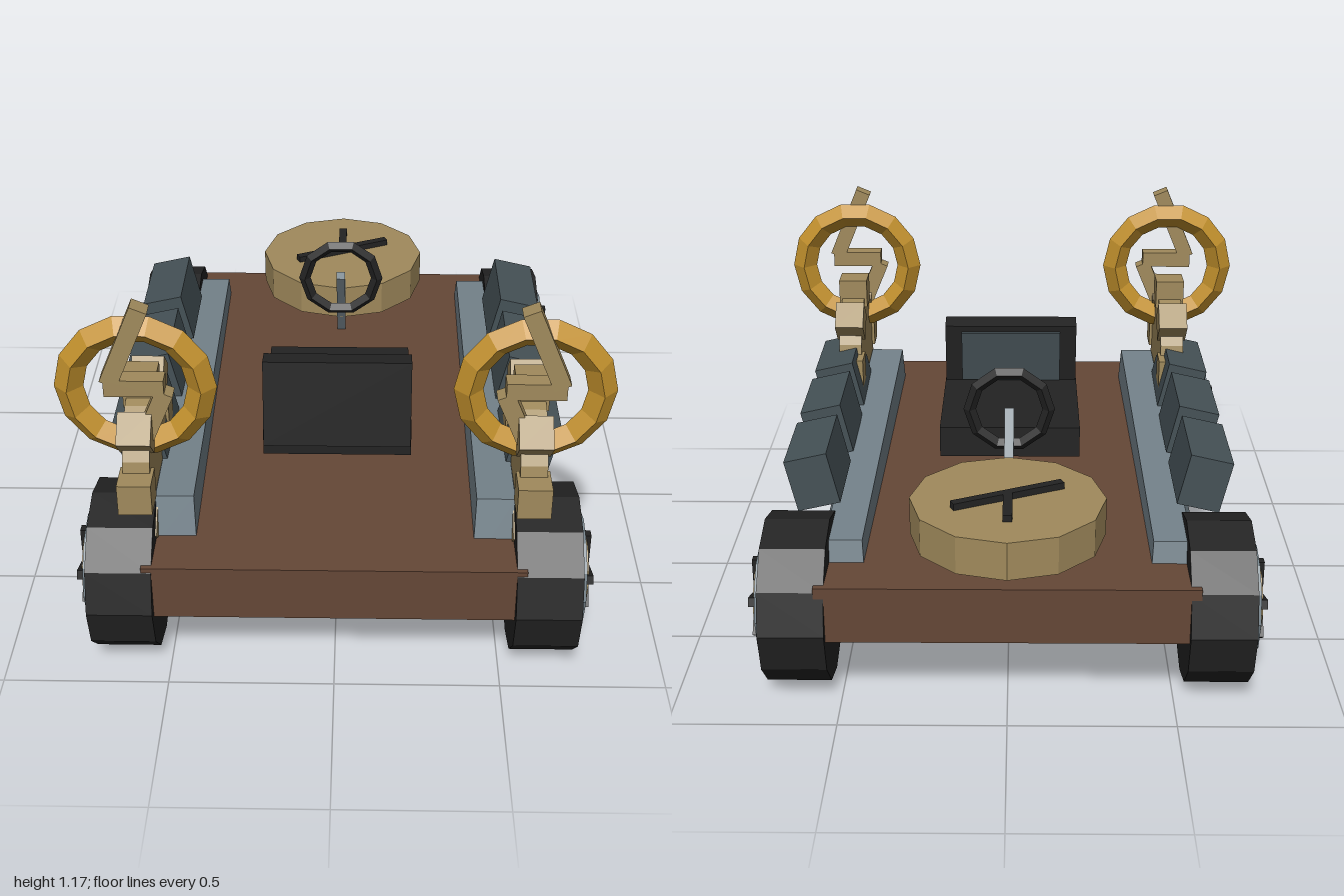
import * as THREE from 'three';

const mat = (name, color) => {
  const m = new THREE.MeshStandardMaterial({ color, flatShading: true });
  m.name = name;
  return m;
};

export function createModel() {
  const brown = mat('deck brown', 0x654736);
  const steel = mat('steel grey', 0x74828a);
  const slate = mat('slate grey', 0x455156);
  const black = mat('rubber black', 0x232323);
  const brass = mat('brass', 0xa08a5c);
  const gold = mat('gold', 0xc08f2c);
  const root = new THREE.Group();

  const add = (name, geo, material, pos, rot = [0, 0, 0], parent = root) => {
    const mesh = new THREE.Mesh(geo, material);
    mesh.name = name;
    mesh.position.set(...pos);
    mesh.rotation.set(...rot);
    parent.add(mesh);
    return mesh;
  };
  const box = (name, size, material, pos, rot, parent) =>
    add(name, new THREE.BoxGeometry(...size), material, pos, rot, parent);
  const group = (name) => {
    const g = new THREE.Group();
    g.name = name;
    root.add(g);
    return g;
  };

  // Deck
  box('deck', [1.13, 0.178, 1.875], brown, [0, 0.315, 0.0275]);

  // Wheel: tyre, rim, hub and five spokes, s is the side
  const wheel = (name, s, z) => {
    const g = group(name);
    const disc = (part, r, x0, x1, m) =>
      add(part, new THREE.CylinderGeometry(r, r, x1 - x0, 12), m,
        [s * (x0 + x1) / 2, 0, 0], [0, 0, Math.PI / 2], g);
    disc('tyre', 0.258, 0.535, 0.73, black);
    disc('rim', 0.175, 0.7, 0.75, steel);
    disc('hub', 0.115, 0.72, 0.763, brass);
    for (let i = 0; i < 5; i++) {
      const a = i * Math.PI * 2 / 5;
      box('spoke', [0.025, 0.125, 0.028], black,
        [s * 0.763, Math.cos(a) * 0.0625, Math.sin(a) * 0.0625], [a, 0, 0], g);
    }
    g.position.set(0, 0.258, z);
  };

  // Side rail: a box tapered toward its top and rising toward +z
  const rail = (s) => {
    const geo = new THREE.BoxGeometry(1, 1, 1);
    const p = geo.attributes.position;
    for (let i = 0; i < p.count; i++) {
      const outer = p.getX(i) * s > 0, top = p.getY(i) > 0, front = p.getZ(i) > 0;
      const x = (outer ? (top ? 0.545 : 0.6) : (top ? 0.43 : 0.42)) + (front ? -0.008 : 0.005);
      const y = top ? (front ? 0.525 : 0.47) : 0.31;
      const z = front ? (top ? 0.77 : 0.83) : (top ? -0.73 : -0.77);
      p.setXYZ(i, s * x, y, z);
    }
    geo.computeVertexNormals();
    add('sideRail', geo, steel, [0, 0, 0]);
  };

  // Upright gear with eight square teeth
  const gear = (s) => {
    const g = group('gear');
    add('gearDisc', new THREE.CylinderGeometry(0.22, 0.22, 0.08, 16), brass,
      [0, 0, 0], [0, 0, Math.PI / 2], g);
    for (let i = 0; i < 8; i++) {
      const a = i * Math.PI / 4;
      box('gearTooth', [0.1, 0.1, 0.1], brass,
        [0, Math.cos(a) * 0.227, Math.sin(a) * 0.227], [a, 0, 0], g);
    }
    g.position.set(s * 0.58, 0.59, 0.61);
  };

  // Ring with a zigzag bolt
  const ring = (s) => {
    const g = group('boltRing');
    add('ring', new THREE.TorusGeometry(0.194, 0.043, 4, 14), gold, [s * 0.579, 0.88, 0.722], [0, 0, 0], g);
    const bar = (x0, y0, x1, y1) =>
      box('boltBar', [0.053, Math.hypot(x1 - x0, y1 - y0), 0.055], brass,
        [s * (x0 + x1) / 2, (y0 + y1) / 2, 0.748],
        [0, 0, s * Math.atan2(x1 - x0, y0 - y1)], g);
    bar(0.548, 1.157, 0.65, 0.915);
    bar(0.49, 0.902, 0.664, 0.902);
    bar(0.49, 0.885, 0.585, 0.66);
  };

  for (const s of [1, -1]) {
    wheel('frontWheel', s, 0.743);
    wheel('rearWheel', s, -0.682);
    rail(s);
    for (const z of [0.405, 0.015, -0.378])
      box('sidePanel', [0.135, 0.169, 0.312], slate, [s * 0.605, 0.567, z], [0, 0, -s * 0.227]);
    gear(s);
    ring(s);
  }

  // Seat with leaning backrest
  box('seatCushion', [0.47, 0.105, 0.5], black, [0, 0.503, 0.18]);
  const back = group('backrest');
  box('backrestFrame', [0.465, 0.285, 0.075], black, [0, 0, 0], [0, 0, 0], back);
  box('backrestPad', [0.35, 0.19, 0.02], slate, [0, 0.025, -0.038], [0, 0, 0], back);
  back.position.set(0, 0.635, 0.4);
  back.rotation.x = -0.15;

  // Steering wheel and slanted column
  add('steeringWheel', new THREE.TorusGeometry(0.126, 0.02, 4, 10), black, [0, 0.712, -0.285]);
  box('steeringColumn', [0.03, 0.375, 0.03], steel, [0, 0.555, -0.39], [0.54, 0, 0]);

  // Clock drum with hands
  add('clockDrum', new THREE.CylinderGeometry(0.293, 0.293, 0.118, 12), brass, [0, 0.542, -0.707]);
  box('clockShortHand', [0.028, 0.024, 0.16], black, [0, 0.61, -0.787]);
  box('clockLongHand', [0.36, 0.024, 0.028], black, [0, 0.61, -0.707], [0, 0.437, 0]);

  return root;
}
